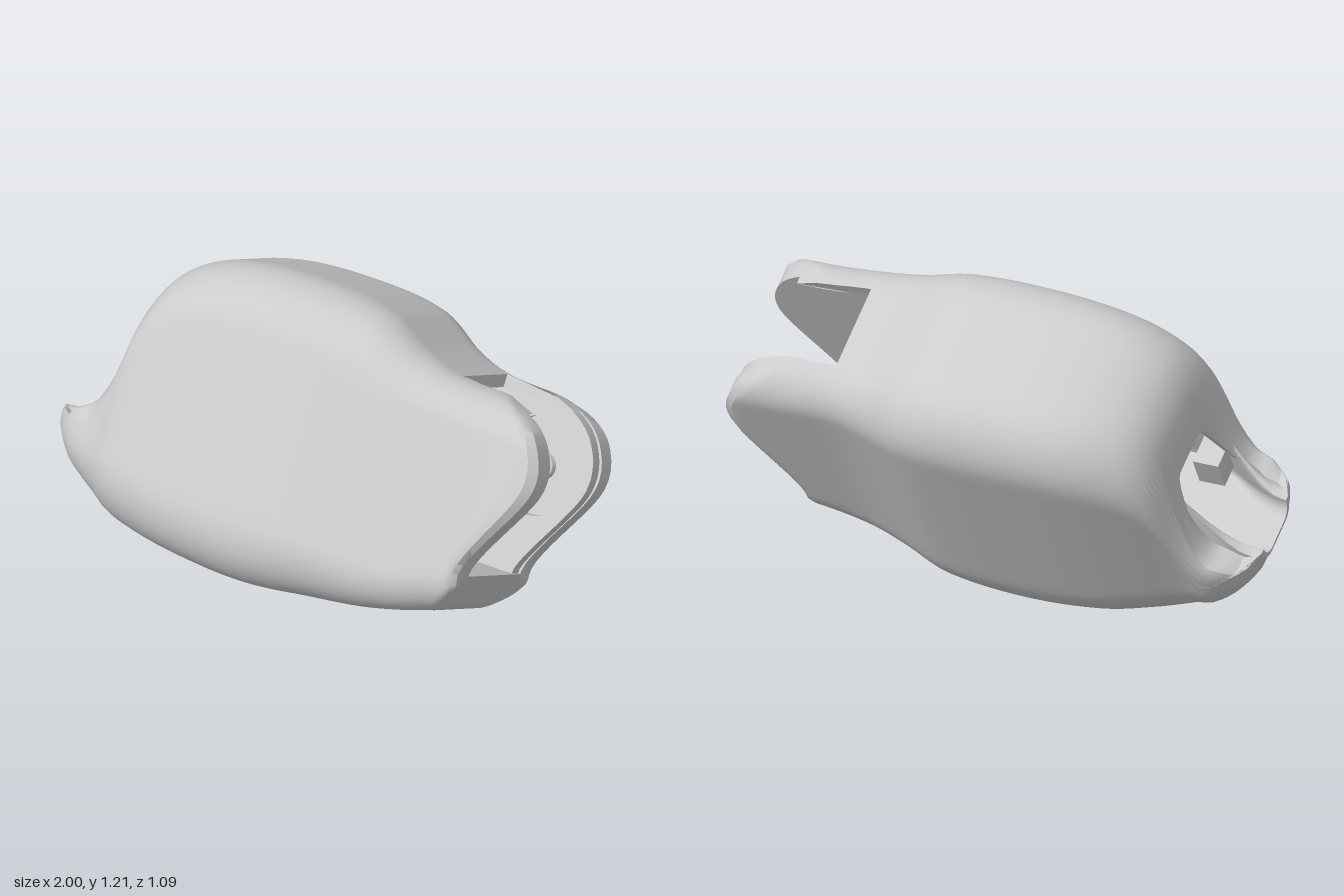
import * as THREE from 'three';
import { toCreasedNormals } from 'three/addons/utils/BufferGeometryUtils.js';

const { lerp, clamp, smoothstep } = THREE.MathUtils;
const material = new THREE.MeshStandardMaterial({ color: 0xcccccc, side: THREE.DoubleSide });

// Cross-sections along x: [x, top, bottom, front, back, corner radius]
const KEYS = [
  [-1.0, -0.11, -0.26, 0.12, -0.16, 0.07],
  [-0.97, -0.085, -0.3, 0.18, -0.22, 0.1],
  [-0.9, -0.075, -0.37, 0.24, -0.28, 0.13],
  [-0.82, -0.05, -0.425, 0.275, -0.32, 0.165],
  [-0.76, 0.1, -0.465, 0.3, -0.32, 0.2],
  [-0.7, 0.33, -0.495, 0.34, -0.33, 0.22],
  [-0.6, 0.46, -0.525, 0.37, -0.355, 0.24],
  [-0.4, 0.54, -0.555, 0.39, -0.39, 0.24],
  [-0.1, 0.565, -0.57, 0.405, -0.4, 0.24],
  [0.2, 0.54, -0.535, 0.405, -0.38, 0.22],
  [0.4, 0.45, -0.505, 0.4, -0.3, 0.18],
  [0.55, 0.41, -0.47, 0.39, -0.255, 0.15],
  [0.75, 0.4, -0.415, 0.38, -0.25, 0.15],
  [1.0, 0.4, -0.39, 0.38, -0.25, 0.15],
];
// Outline of the fork's side plates: [height, x of the end]
const FORK_END = [[-0.42, 0.73], [-0.34, 0.79], [-0.24, 0.8], [0.05, 0.975], [0.15, 1.0], [0.25, 0.975], [0.33, 0.91], [0.4, 0.78]];
const SLOT_X = 0.56;
const SLOT = { bottom: -0.27, top: 0.36, back: -0.15, front: 0.26 };
const CAVITY_BACK = -0.1;

// Smooth interpolation through the rows of a table
function sample(table, x) {
  let i = 0;
  while (i < table.length - 2 && x > table[i + 1][0]) i++;
  const at = (k) => table[clamp(k, 0, table.length - 1)];
  const [p, a, b, n] = [at(i - 1), at(i), at(i + 1), at(i + 2)];
  const h = b[0] - a[0], t = clamp((x - a[0]) / h, 0, 1);
  return a.map((_, k) => {
    const m0 = ((b[k] - p[k]) / (b[0] - p[0])) * h, m1 = ((n[k] - a[k]) / (n[0] - a[0])) * h;
    return a[k] * (2 * t ** 3 - 3 * t * t + 1) + m0 * (t ** 3 - 2 * t * t + t)
      + b[k] * (3 * t * t - 2 * t ** 3) + m1 * (t ** 3 - t * t);
  });
}

// Stations round the shell: position of the corner centre plus a direction
function perimeter() {
  const list = [], SIDE = 14, ARC = 14;
  const corners = [[1, 1], [0, 1], [0, 0], [1, 0]];
  for (let q = 0; q < 4; q++) {
    const from = corners[(q + 3) % 4], to = corners[q], a0 = q * Math.PI / 2;
    for (let i = 0; i <= SIDE; i++) {
      if (q > 0 && (i === 0 || i === SIDE)) continue;
      const t = i / SIDE;
      list.push({ cv: lerp(from[0], to[0], t), cw: lerp(from[1], to[1], t), dv: Math.cos(a0), dw: Math.sin(a0), top: q === 0 });
    }
    for (let i = 0; i <= ARC; i++) {
      const a = a0 + (i / ARC) * Math.PI / 2;
      list.push({ cv: to[0], cw: to[1], dv: Math.cos(a), dw: Math.sin(a), top: false });
    }
  }
  return list;
}

function outerPoint(s, x) {
  const [, top, bottom, front, back, r] = sample(KEYS, x);
  return [lerp(bottom + r, top - r, s.cv) + r * s.dv, lerp(back + r, front - r, s.cw) + r * s.dw];
}
const intoSlot = ([v, w]) => [clamp(v, SLOT.bottom, SLOT.top), clamp(w, SLOT.back, SLOT.front)];
const mix = (a, b, t) => [lerp(a[0], b[0], t), lerp(a[1], b[1], t)];

// One closed loop per station: tail rim, outside, fork end, inside, tail rim
function column(s) {
  const BODY = 60, FORK = 14, INNER = 32, points = [];
  const v0 = outerPoint(s, 0.75)[0];
  const start = lerp(-1, -0.73, clamp((v0 + 0.415) / 0.815, 0, 1) ** 7);
  const end = s.top ? SLOT_X : sample(FORK_END, v0)[1];
  const innerEnd = s.top ? SLOT_X : sample(FORK_END, clamp(v0, SLOT.bottom, SLOT.top))[1];
  const add = (x, p) => points.push([x, p[0], p[1]]);
  const rim = outerPoint(s, start), k = sample(KEYS, start);
  const hole = mix([(k[1] + k[2]) / 2, (k[3] + k[4]) / 2], rim, 0.78);
  hole[1] = clamp(hole[1], -0.17, 0.24);

  add(start, mix(rim, hole, 0.35));
  for (let i = 0; i <= BODY; i++) {
    const x = lerp(start, SLOT_X, i / BODY);
    add(x + (i === 0 ? 0.008 : 0), outerPoint(s, x));
  }
  for (let i = 1; i <= FORK; i++) {
    const x = lerp(SLOT_X, end, i / FORK), o = outerPoint(s, x);
    const q = s.top ? 0 : clamp((x - end + 0.05) / 0.05, 0, 1);
    add(x, mix(o, intoSlot(o), 0.25 * (1 - Math.sqrt(1 - q * q))));
  }
  for (let i = FORK; i >= 0; i--) {
    const x = lerp(SLOT_X, innerEnd, i / FORK);
    add(x, intoSlot(outerPoint(s, x)));
  }
  // straight cavity that flares into the tail opening
  const [mv, mw] = intoSlot(outerPoint(s, SLOT_X));
  const mouth = [mv, Math.max(mw, CAVITY_BACK)];
  for (let i = 0; i <= INNER; i++) {
    const t = i / INNER;
    add(lerp(SLOT_X, start, t), mix(mouth, hole, smoothstep(t, 0.72, 1)));
  }
  points.capRow = 1 + BODY + FORK;
  return points;
}

function shellGeometry() {
  const stations = perimeter(), columns = stations.map(column), position = [];
  const [a, b, c, ab, ac] = Array.from({ length: 5 }, () => new THREE.Vector3());
  const triangle = (p, q, r) => {
    a.fromArray(p); b.fromArray(q); c.fromArray(r);
    if (ab.subVectors(b, a).cross(ac.subVectors(c, a)).length() > 1e-8) position.push(...p, ...q, ...r);
  };
  columns.forEach((left, j) => {
    const n = (j + 1) % columns.length, right = columns[n];
    const slotSide = stations[j].top !== stations[n].top;
    for (let i = 0; i < left.length; i++) {
      // at the slot's sides only the wall between outside and inside is needed
      if (slotSide && i !== left.capRow) continue;
      const k = (i + 1) % left.length;
      triangle(left[i], right[i], right[k]);
      triangle(left[i], right[k], left[k]);
    }
  });
  const geometry = new THREE.BufferGeometry();
  geometry.setAttribute('position', new THREE.Float32BufferAttribute(position, 3));
  return toCreasedNormals(geometry, 0.6);
}

// Lining of the back plate with a round pocket
function liningGeometry() {
  const shape = new THREE.Shape();
  shape.moveTo(SLOT_X - 0.01, -0.28);
  for (let i = 0; i <= 24; i++) {
    const v = lerp(-0.28, 0.37, i / 24);
    shape.lineTo(sample(FORK_END, v)[1] - 0.01, v);
  }
  shape.lineTo(SLOT_X - 0.01, 0.37);
  shape.closePath();
  shape.holes.push(new THREE.Path().absarc(0.77, 0.13, 0.18, 0, Math.PI * 2, true));
  return toCreasedNormals(new THREE.ExtrudeGeometry(shape, { depth: 0.055, bevelEnabled: false, curveSegments: 40 }), 0.6);
}

// Ring-shaped screw boss
function bossGeometry() {
  const profile = [[0.022, 0], [0.022, 0.02], [0.034, 0.028], [0.046, 0.02], [0.052, 0]];
  const g = new THREE.LatheGeometry(profile.map(([r, h]) => new THREE.Vector2(r, h)), 32);
  return toCreasedNormals(g.rotateX(Math.PI / 2), 0.6);
}

export function createModel() {
  const model = new THREE.Group();
  model.name = 'housing';
  const tilted = new THREE.Group();
  tilted.name = 'tiltedBody';
  tilted.position.y = 0.605;
  tilted.rotation.x = -THREE.MathUtils.degToRad(29.5);
  model.add(tilted);

  const add = (name, geometry, x, y, z) => {
    const mesh = new THREE.Mesh(geometry, material);
    mesh.name = name;
    mesh.position.set(x, y, z);
    tilted.add(mesh);
  };
  add('shell', shellGeometry(), 0, 0, 0);
  add('pocketLining', liningGeometry(), 0, 0, -0.155);
  add('screwBoss', bossGeometry(), 0.77, 0.13, -0.152);
  // Small guides inside the tail opening
  add('tailRib', new THREE.BoxGeometry(0.06, 0.03, 0.24), -0.66, 0.1, 0.13);
  add('tailBlock', new THREE.BoxGeometry(0.1, 0.12, 0.15), -0.7, -0.14, 0.18);
  return model;
}
